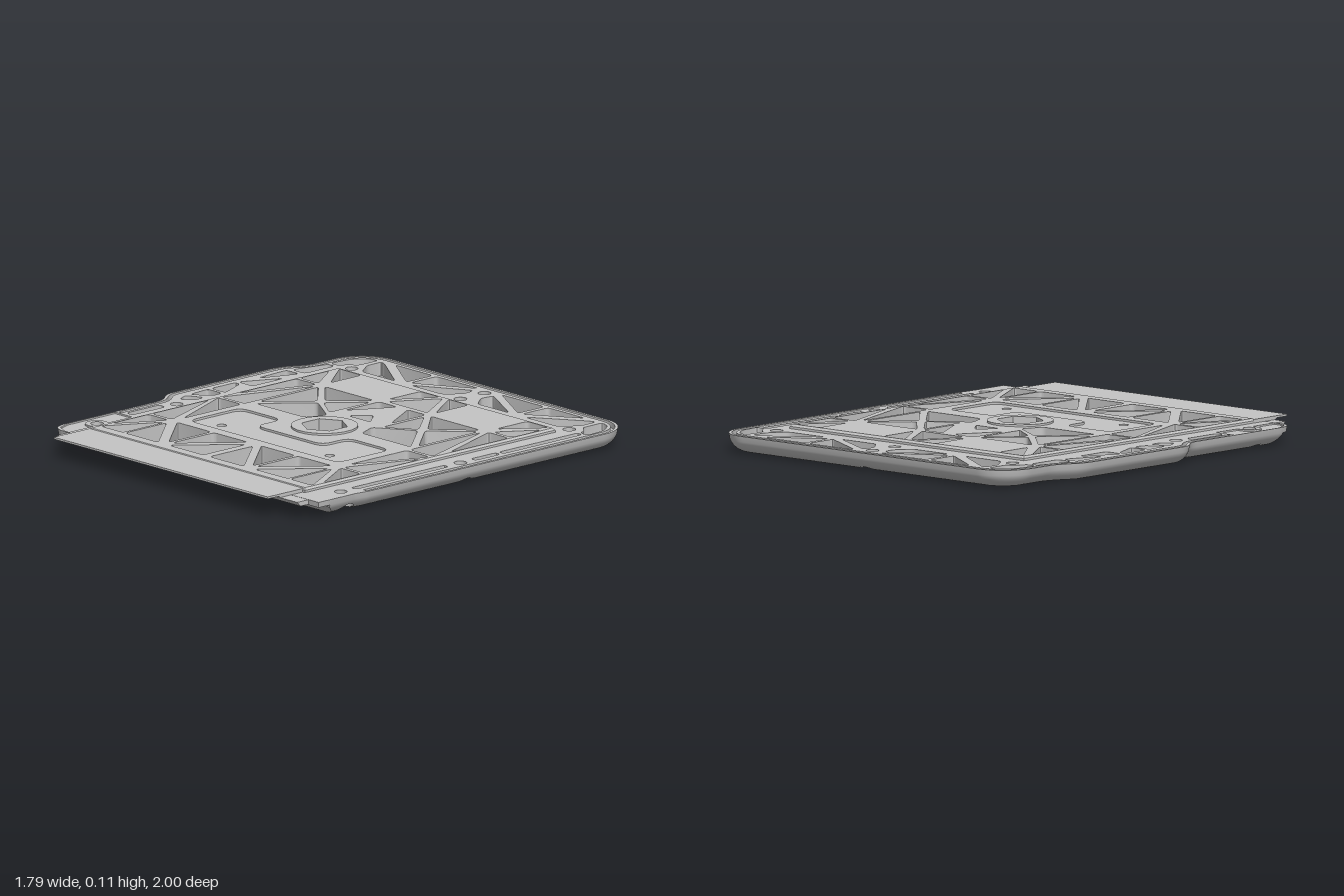
import * as THREE from 'three';
import { toCreasedNormals } from 'three/addons/utils/BufferGeometryUtils.js';

const V = (x, z) => new THREE.Vector2(x, z);
const AXIS = 0.033; // mirror line of the rib pattern
const TOP = 0.08, PANEL = 0.1, HUB = 0.109, FLOOR = 0.02;

export function createModel() {
  const grey = new THREE.MeshStandardMaterial({ color: 0xc5c5c5, side: THREE.DoubleSide });
  grey.name = 'cast grey';
  const model = new THREE.Group();
  model.name = 'ribbedPlate';
  const add = (name, geo) => {
    const m = new THREE.Mesh(geo, grey);
    m.name = name;
    model.add(m);
    return m;
  };

  // Wall through a list of closed loops of [x, y, z]
  const band = (loops) => {
    const n = loops[0].length, idx = [];
    for (let k = 0; k < loops.length - 1; k++) for (let i = 0; i < n; i++) {
      const a = k * n + i, b = k * n + (i + 1) % n;
      idx.push(a, a + n, b, b, a + n, b + n);
    }
    const g = new THREE.BufferGeometry();
    g.setAttribute('position', new THREE.Float32BufferAttribute(loops.flat(2), 3));
    g.setIndex(idx);
    return toCreasedNormals(g, 0.5);
  };
  const at = (pts, y) => pts.map((p) => [p.x, y, p.y]);
  const wall = (pts, y0, y1) => band([at(pts, y0), at(pts, y1)]);
  // Flat horizontal face with holes
  const cap = (pts, y, holes = []) => {
    const flip = (list) => list.map((p) => V(p.x, -p.y));
    const s = new THREE.Shape(flip(pts));
    s.holes = holes.map((h) => new THREE.Path(flip(h)));
    return new THREE.ShapeGeometry(s).rotateX(-Math.PI / 2).translate(0, y, 0);
  };
  const ring = (x, z, r, n = 32, start = 0) => Array.from({ length: n }, (_, i) =>
    V(x + r * Math.cos(start + i * 2 * Math.PI / n), z + r * Math.sin(start + i * 2 * Math.PI / n)));
  // Polygon with softened corners
  const soft = (poly, r = 0.02) => poly.flatMap((c, i) => {
    const p = V(...c);
    const [a, b] = [poly[(i + poly.length - 1) % poly.length], poly[(i + 1) % poly.length]].map((q) => {
      const d = V(...q).sub(p), len = d.length();
      return p.clone().addScaledVector(d, Math.min(r, len * 0.4) / len);
    });
    return new THREE.QuadraticBezierCurve(a, p, b).getPoints(4);
  });
  const rect = (x0, x1, z0, z1) => [[x0, z0], [x1, z0], [x1, z1], [x0, z1]];
  const mirrored = (polys) => polys.flatMap((p) => [p, p.map(([x, z]) => [2 * AXIS - x, z])]);
  const pocket = (name, pts, y0, y1, holes) => {
    add(name + 'Wall', wall(pts, y0, y1));
    add(name + 'Floor', cap(pts, y0, holes));
  };

  // Plan outline of the body
  const plan = new THREE.Shape();
  plan.moveTo(0.882, 0.86);
  plan.lineTo(0.882, 0.64);
  plan.lineTo(0.892, 0.57);
  plan.lineTo(0.892, -0.83);
  plan.absarc(0.722, -0.83, 0.17, 0, -Math.PI / 2, true);
  plan.lineTo(-0.66, -1);
  plan.absarc(-0.66, -0.83, 0.17, -Math.PI / 2, -Math.PI, true);
  plan.lineTo(-0.83, -0.72);
  plan.bezierCurveTo(-0.83, -0.62, -0.895, -0.62, -0.895, -0.5);
  plan.lineTo(-0.895, 0.06);
  plan.bezierCurveTo(-0.895, 0.16, -0.83, 0.14, -0.83, 0.24);
  plan.lineTo(-0.83, 0.76);
  plan.quadraticCurveTo(-0.83, 0.86, -0.74, 0.86);
  plan.closePath();
  const outline = plan.getSpacedPoints(640).slice(0, -1);
  const inward = outline.map((_, i) => {
    const n = outline.length, t = outline[(i + 1) % n].clone().sub(outline[(i + n - 1) % n]).normalize();
    return V(t.y, -t.x);
  });
  const inset = (i, d) => outline[i].clone().addScaledVector(inward[i], d);

  // Point of the rounded skirt at height y; the front underside slopes
  const slope = (y) => 0.74 + Math.min(y / 0.045, 1) * 0.05;
  const rimPoint = (i, y, zMax = slope(y)) => {
    const d = TOP * (1 - Math.sqrt(1 - ((TOP - y) / TOP) ** 2));
    const p = inset(i, d);
    return V(p.y > 0.65 ? Math.min(p.x, 0.882 - d) : p.x, Math.min(p.y, zMax));
  };

  // Screw holes; the counterbores near the rim cut through the rounded edge
  const edgeHoles = [[0.813, -0.043], [0.813, 0.665], [-0.74, 0.193], [-0.74, 0.665], [0.033, -0.91]];
  const innerHoles = [[-0.66, -0.768], [0.726, -0.768], [0.033, -0.768]];
  const R = 0.056, r = 0.028, SEAT = 0.04;
  const boreAt = (p) => edgeHoles.find(([x, z]) => Math.hypot(p.x - x, p.y - z) < R);
  const lift = outline.map((_, i) => {
    let y = 0;
    while (y < SEAT && boreAt(rimPoint(i, y))) y += 0.0005;
    return y;
  });
  const skirt = [0, 0.003, 0.008, 0.015, 0.025, 0.035, 0.045, 0.055].map((y) => outline.map((_, i) => {
    const h = Math.max(y, lift[i]), p = rimPoint(i, h);
    return [p.x, h, p.y];
  }));
  const flange = [0.055, TOP].map((y) => at(outline.map((_, i) => rimPoint(i, y, 0.86)), y));
  add('roundedSkirt', band([...skirt, ...flange]));

  // Underside, its rim following the inner arc of each open counterbore
  const hub = [0.028, 0.032];
  const base = outline.map((_, i) => {
    const p = rimPoint(i, 0), hole = boreAt(p);
    if (!hole) return p;
    const [cx, cz] = hole;
    return cz < -0.9 ? V(p.x, cz + Math.sqrt(R * R - (p.x - cx) ** 2))
      : V(cx - Math.sign(cx) * Math.sqrt(R * R - (p.y - cz) ** 2), p.y);
  });
  add('underside', cap(base, 0, [...innerHoles.map((h) => ring(...h, R)), ring(...hub, 0.058)]));
  const lathe = (name, [x, z], prof) => add(name,
    toCreasedNormals(new THREE.LatheGeometry(prof.map((p) => V(...p)), 32), 0.5)).position.set(x, 0, z);
  const shaft = [[R, SEAT], [r, SEAT], [r, TOP]];
  const skirtHeight = (p) => {
    const d = Math.min(TOP, ...outline.map((q) => q.distanceTo(p)));
    return TOP * (1 - Math.sqrt(1 - (1 - d / TOP) ** 2));
  };
  edgeHoles.forEach((h) => {
    const pts = ring(...h, R, 40);
    add('openCounterbore', band([pts.map((p) => [p.x, skirtHeight(p), p.y]), at(pts, SEAT)]));
    lathe('edgeScrewHole', h, shaft);
  });
  innerHoles.forEach((h) => lathe('screwHole', h, [[R, 0], ...shaft]));
  lathe('hubBore', hub, [[0.058, 0], [0.058, 0.05]]);

  // Border pockets between the rim and the raised panel
  const border = [
    ...mirrored([
      [[-0.57, -0.945], [-0.335, -0.945], [-0.335, -0.79]],
      [[-0.65, -0.935], [-0.62, -0.925], [-0.38, -0.765], [-0.59, -0.765], [-0.65, -0.85]],
      [[-0.31, -0.945], [-0.04, -0.945], [-0.31, -0.79]],
      [[-0.28, -0.765], [-0.03, -0.905], [-0.02, -0.84], [-0.08, -0.765]],
      [[-0.68, -0.945], [-0.68, -0.83], [-0.72, -0.80], [-0.74, -0.76], [-0.785, -0.76], [-0.775, -0.87], [-0.73, -0.93]],
    ]),
    [[-0.78, -0.74], [-0.74, -0.74], [-0.74, -0.565], [-0.82, -0.565]],
    [[-0.83, -0.54], [-0.75, -0.54], [-0.82, -0.36]],
    [[-0.74, -0.44], [-0.74, -0.255], [-0.83, -0.255]],
    [[-0.83, -0.235], [-0.80, -0.235], [-0.74, -0.095], [-0.83, -0.095]],
    [[-0.83, -0.075], [-0.74, -0.075], [-0.74, -0.02], [-0.82, 0.04]],
    [[-0.82, 0.07], [-0.74, 0.03], [-0.74, 0.09], [-0.79, 0.13]],
    rect(-0.78, -0.74, 0.26, 0.455),
    rect(0.797, 0.828, -0.75, -0.285), rect(0.797, 0.828, -0.265, -0.12), rect(0.797, 0.828, 0.04, 0.59),
  ].map((p) => soft(p));
  border.forEach((p) => pocket('borderPocket', p, FLOOR, TOP));

  // Seal groove following the rim
  const run = (d) => outline.map((_, i) => inset(i, d))
    .filter((_, i) => outline[i].y < (outline[i].x > 0 ? 0.58 : 0.47));
  const groove = [...run(0.014), ...run(0.033).reverse()];
  pocket('sealGroove', groove, 0.055, TOP);

  // Lowered front corner that wraps around its screw boss
  const corner = edgeHoles[3];
  const bossArc = Array.from({ length: 13 }, (_, i) => -1.1 - i * (2 * Math.PI - 2.2) / 12)
    .map((a) => V(corner[0] + 0.052 * Math.cos(a), corner[1] + 0.052 * Math.sin(a)));
  const lowCorner = [V(-0.824, 0.48), V(-0.715, 0.48), ...bossArc, V(-0.715, 0.854), V(-0.75, 0.85),
    V(-0.8, 0.825), V(-0.824, 0.76)];
  pocket('lowCorner', lowCorner, 0.073, TOP);

  // Border top face and raised panel with a slanted edge
  const panel = rect(-0.655, 0.722, -0.69, 0.793).map((p) => V(...p));
  const panelRim = rect(-0.648, 0.715, -0.68, 0.785).map((p) => V(...p));
  add('borderTop', cap(outline, TOP, [panel, groove, lowCorner, ...border,
    ...[...edgeHoles, ...innerHoles].map((h) => ring(...h, r))]));
  add('panelEdge', band([at(panel, TOP), at(panel, 0.09), at(panelRim, PANEL)]));

  const ribs = [
    ...mirrored([
      [[-0.635, -0.673], [-0.495, -0.673], [-0.495, -0.49]],
      [[-0.642, -0.62], [-0.642, -0.445], [-0.525, -0.445]],
      [[-0.642, -0.425], [-0.515, -0.425], [-0.642, -0.08]],
      [[-0.495, -0.4], [-0.495, 0.02], [-0.64, 0.02]],
      [[-0.64, 0.04], [-0.495, 0.04], [-0.495, 0.38]],
      [[-0.642, 0.09], [-0.515, 0.43], [-0.642, 0.43]],
      [[-0.12, -0.673], [0.005, -0.673], [-0.12, -0.48]],
      [[-0.46, -0.425], [-0.15, -0.425], [-0.295, -0.27]],
      [[-0.475, -0.4], [-0.475, -0.05], [-0.31, -0.24]],
      [[-0.137, -0.395], [-0.137, -0.15], [-0.27, -0.24]],
      [[-0.46, -0.015], [-0.285, -0.22], [-0.11, -0.11], [-0.15, -0.015]],
      [[-0.115, -0.425], [0.0, -0.425], [-0.115, -0.22]],
      [[-0.642, 0.45], [-0.515, 0.45], [-0.642, 0.67]],
      [[-0.5, 0.485], [-0.5, 0.735], [-0.642, 0.735]],
      [[-0.485, 0.49], [-0.275, 0.735], [-0.485, 0.735]],
      [[-0.46, 0.45], [-0.245, 0.45], [-0.245, 0.7]],
      [[-0.225, 0.45], [-0.01, 0.45], [-0.225, 0.7]],
      [[0.012, 0.48], [0.012, 0.735], [-0.205, 0.735]],
    ]),
    [[0.033, -0.665], [0.158, -0.455], [-0.092, -0.455]],
    [[0.033, -0.255], [0.103, -0.17], [-0.037, -0.17]],
  ].map((p) => soft(p));
  ribs.forEach((p) => pocket('panelPocket', p, FLOOR, PANEL));

  // Shallow U-shaped recess with two small holes
  const recess = soft([[-0.45, 0.085], [-0.187, 0.085], [-0.187, 0.238], [0.238, 0.238],
    [0.238, 0.085], [0.503, 0.085], [0.503, 0.393], [-0.45, 0.393]], 0.05);
  const pins = [-0.32, 0.368].map((x) => ring(x, 0.317, 0.021, 20));
  pocket('recess', recess, 0.09, PANEL, pins);
  pins.forEach((p) => pocket('pinHole', p, 0.04, 0.09));

  // Hub with a hexagonal socket
  const hex = ring(...hub, 0.104, 6, Math.PI / 2), rim = ring(...hub, 0.145, 48);
  add('panelTop', cap(panelRim, PANEL, [recess, hex, ...ribs]));
  add('hubEdge', wall(rim, PANEL, HUB));
  add('hubTop', cap(rim, HUB, [hex]));
  pocket('hexSocket', hex, 0.05, HUB, [ring(...hub, 0.058)]);

  // Stepped lips along the front, as side profiles [z, y] swept across x
  const lip = (name, x0, x1, prof) => add(name,
    new THREE.ExtrudeGeometry(new THREE.Shape(prof.map((p) => V(...p))), { depth: x1 - x0, bevelEnabled: false })
      .rotateY(-Math.PI / 2).translate(x1, 0, 0));
  lip('middleLip', -0.715, 0.815, [[0.8, 0.058], [0.905, 0.058], [0.925, 0.079], [0.8, 0.079]]);
  lip('frontTongue', -0.655, 0.708, [[0.785, 0.08], [0.925, 0.08], [0.935, 0.087], [1, 0.087], [1, 0.096], [0.785, 0.096]]);

  return model;
}
